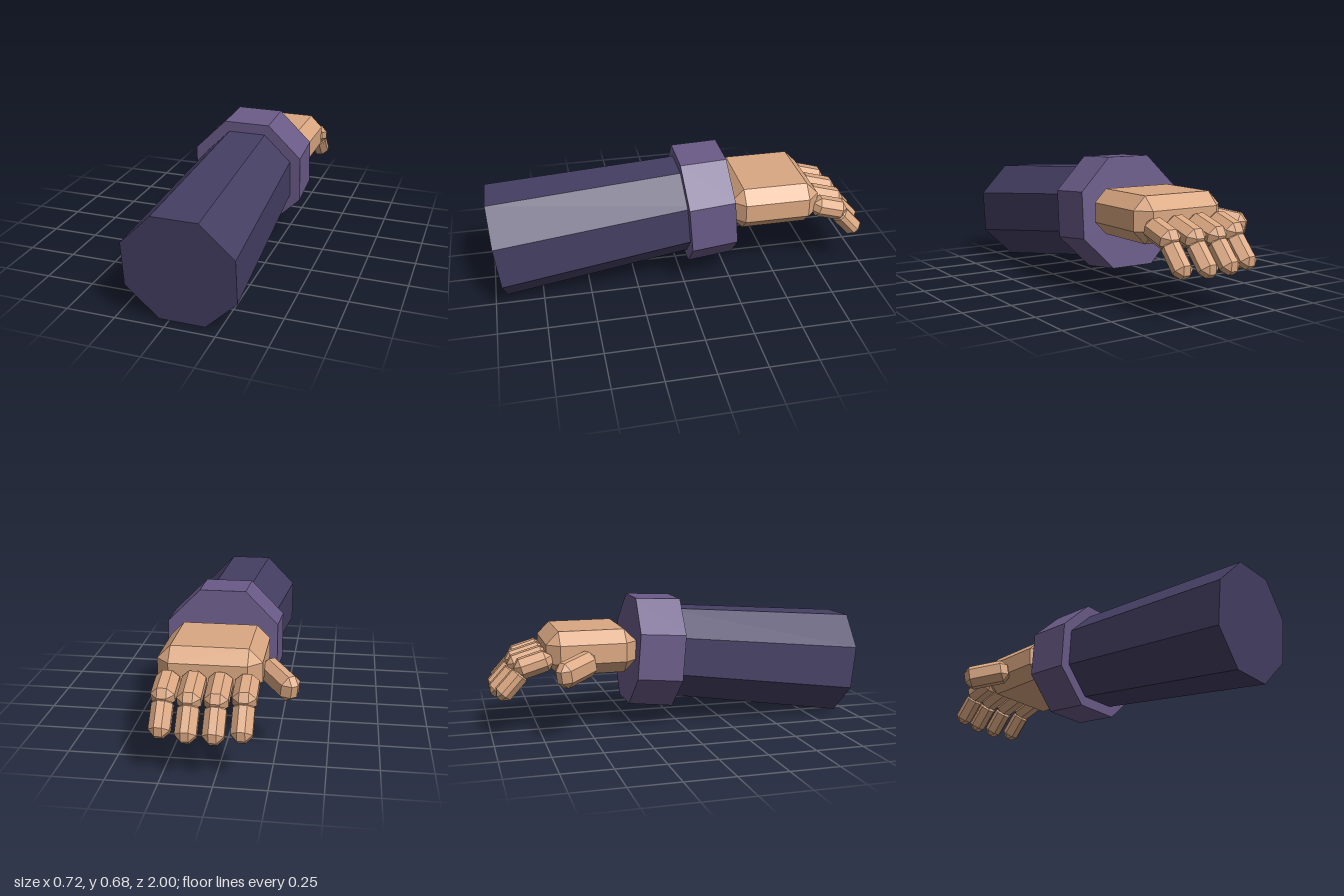
import * as THREE from 'three';
import { ConvexGeometry } from 'three/addons/geometries/ConvexGeometry.js';

const CENTRE_X = 0.065;

// Box with every edge chamfered: each face is inset and the gaps are bridged.
function chamferBox(w, h, d, c) {
  const points = [];
  for (const x of [-1, 1]) for (const y of [-1, 1]) for (const z of [-1, 1]) {
    const [X, Y, Z] = [x * w / 2, y * h / 2, z * d / 2];
    points.push(
      new THREE.Vector3(X, Y - y * c, Z - z * c),
      new THREE.Vector3(X - x * c, Y, Z - z * c),
      new THREE.Vector3(X - x * c, Y - y * c, Z));
  }
  return new ConvexGeometry(points);
}

// Faceted octagonal tube along z; radii are measured to the flat sides.
function octagon(frontApothem, backApothem, length) {
  const k = 1 / Math.cos(Math.PI / 8);
  const tube = new THREE.CylinderGeometry(backApothem * k, frontApothem * k, length, 8, 1, false, Math.PI / 8);
  const geometry = tube.rotateX(-Math.PI / 2).toNonIndexed();
  geometry.computeVertexNormals();
  return geometry;
}

export function createModel() {
  const model = new THREE.Group();
  model.name = 'forearmAndHand';

  const sleeveColour = new THREE.MeshStandardMaterial({ color: 0x453f63 });
  sleeveColour.name = 'dark purple cloth';
  const cuffColour = new THREE.MeshStandardMaterial({ color: 0x6a5b88 });
  cuffColour.name = 'light purple cloth';
  const skin = new THREE.MeshStandardMaterial({ color: 0xdba882 });
  skin.name = 'skin';

  // Pitch is positive when the far (-z) end rises; yaw swings it towards -x.
  function add(parent, name, geometry, material, position, pitch = 0, yaw = 0) {
    const mesh = new THREE.Mesh(geometry, material);
    mesh.name = name;
    mesh.position.set(...position);
    mesh.rotation.set(pitch, yaw, 0, 'YXZ');
    parent.add(mesh);
    return mesh;
  }

  // Sleeve and the wider cuff at the wrist
  add(model, 'sleeve', octagon(0.276, 0.234, 1.076), sleeveColour, [CENTRE_X, 0.334, 0.435], 0.11);
  add(model, 'cuff', octagon(0.292, 0.284, 0.24), cuffColour, [CENTRE_X, 0.393, -0.132], 0.077);

  // Hand
  const hand = new THREE.Group();
  hand.name = 'hand';
  model.add(hand);
  add(hand, 'palm', chamferBox(0.503, 0.227, 0.47, 0.065), skin, [CENTRE_X, 0.424, -0.481]);
  add(hand, 'thumb', chamferBox(0.105, 0.13, 0.25, 0.035), skin, [-0.262, 0.366, -0.585], -0.18, 0.657);

  // Four fingers, each with two joints; the outer pair is slightly shorter
  for (let i = 0; i < 4; i++) {
    const short = i === 0 || i === 3 ? 0.024 : 0;
    const x = -0.124 + i * 0.1245;
    const finger = new THREE.Group();
    finger.name = 'finger' + (i + 1);
    hand.add(finger);
    add(finger, 'innerJoint', chamferBox(0.112, 0.107, 0.222 - short, 0.034), skin,
      [x, 0.376, -0.795 + short / 2], -0.29);
    add(finger, 'fingertip', chamferBox(0.1, 0.092, 0.19, 0.032), skin,
      [x, 0.275 + short / 4, -0.92 + short], -0.83);
  }
  return model;
}
